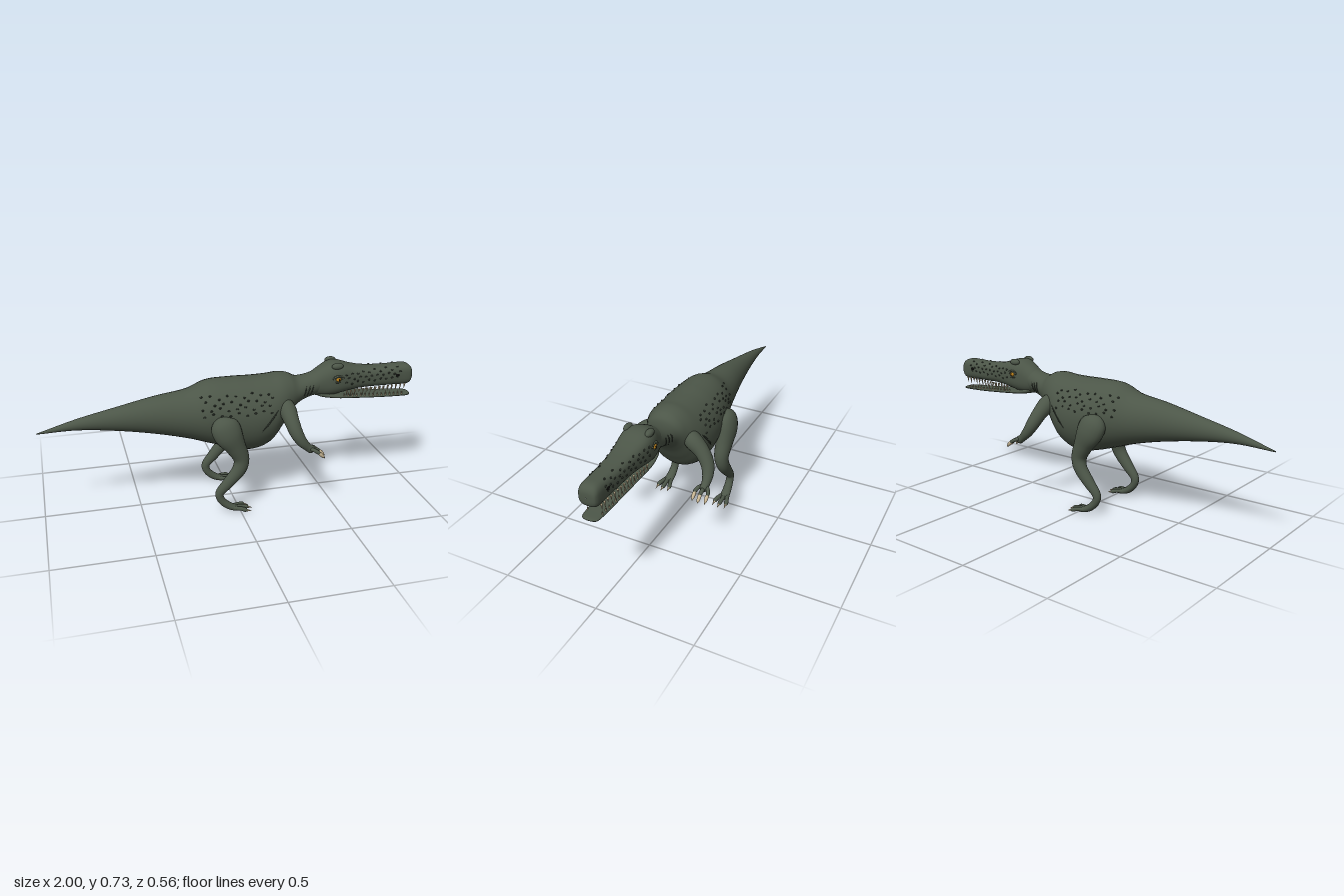
import * as THREE from 'three';
import { mergeGeometries } from 'three/addons/utils/BufferGeometryUtils.js';

const mat = (name, color) => {
  const m = new THREE.MeshStandardMaterial({ color });
  m.name = name;
  return m;
};
const V = (x, y, z) => new THREE.Vector3(x, y, z);

// Smooth skin over rings of points: point(i, j) gives ring i, corner j
function skin(rings, sides, point) {
  const pos = [], idx = [];
  for (let i = 0; i <= rings; i++) {
    for (let j = 0; j < sides; j++) {
      pos.push(...point(i / rings, (j / sides) * Math.PI * 2));
      if (i === rings) continue;
      const a = i * sides + j, b = i * sides + ((j + 1) % sides);
      idx.push(a, a + sides, b, b, a + sides, b + sides);
    }
  }
  const g = new THREE.BufferGeometry();
  g.setAttribute('position', new THREE.Float32BufferAttribute(pos, 3));
  g.setIndex(idx);
  g.computeVertexNormals();
  return g;
}

// Loft along x; each section is [x, top, bottom, half width, squareness]
function loft(sections, rings) {
  const spine = new THREE.CatmullRomCurve3(sections.map(s => V(s[0], s[1], s[2])), false, 'catmullrom');
  const shape = new THREE.CatmullRomCurve3(sections.map(s => V(s[3], s[4], 0)), false, 'catmullrom');
  const pw = (v, e) => Math.sign(v) * Math.abs(v) ** (2 / e);
  const geometry = skin(rings, 36, (t, a) => {
    const p = spine.getPoint(t), q = shape.getPoint(t);
    return [p.x, (p.y + p.z) / 2 + pw(Math.sin(a), q.y) * (p.y - p.z) / 2, pw(Math.cos(a), q.y) * q.x];
  });
  // Half width of the surface at a given x and y
  const zAt = (x, y) => {
    let lo = 0, hi = 1;
    for (let k = 0; k < 24; k++) {
      const m = (lo + hi) / 2;
      if (spine.getPoint(m).x < x) lo = m; else hi = m;
    }
    const p = spine.getPoint(lo), q = shape.getPoint(lo);
    const v = Math.min(1, Math.abs((y - (p.y + p.z) / 2) / ((p.y - p.z) / 2)));
    return q.x * (1 - v ** q.y) ** (1 / q.y);
  };
  return { geometry, zAt };
}

// Limb along points [x, y, z, radius across ref, radius along ref]
function limb(points, ref, rings = 40, sides = 20) {
  const path = new THREE.CatmullRomCurve3(points.map(p => V(p[0], p[1], p[2])), false, 'catmullrom');
  const size = new THREE.CatmullRomCurve3(points.map(p => V(p[3], p[4] ?? p[3], 0)), false, 'catmullrom');
  return skin(rings, sides, (t, a) => {
    const T = path.getTangent(t), r = size.getPoint(t);
    const S = ref.clone().addScaledVector(T, -ref.dot(T)).normalize();
    const U = S.clone().cross(T);
    return path.getPoint(t).addScaledVector(S, Math.cos(a) * r.y).addScaledVector(U, Math.sin(a) * r.x).toArray();
  });
}

// Cone from a base point to a tip
function spike(from, to, r) {
  const d = to.clone().sub(from), len = d.length();
  const g = new THREE.ConeGeometry(r, len, 8).translate(0, len / 2, 0);
  g.applyQuaternion(new THREE.Quaternion().setFromUnitVectors(V(0, 1, 0), d.normalize()));
  return g.translate(from.x, from.y, from.z);
}
const blob = (x, y, z, a, b, c, n = 8) => new THREE.SphereGeometry(1, n * 2, n).scale(a, b, c).translate(x, y, z);

export function createModel() {
  const root = new THREE.Group();
  const hide = mat('hide', 0x4c5648), scale = mat('darkScale', 0x343b32), ivory = mat('ivory', 0xc9b794);
  const amber = mat('amber', 0xb9801c), black = mat('black', 0x0d0d0b);
  const add = (name, geo, m, parent = root) => {
    const mesh = new THREE.Mesh(Array.isArray(geo) ? mergeGeometries(geo) : geo, m);
    mesh.name = name;
    parent.add(mesh);
  };

  // Tail, trunk and neck in one skin
  const body = loft([
    [-1, .476, .472, .002, 2], [-.8, .532, .475, .026, 2], [-.6, .575, .452, .052, 2], [-.4, .615, .415, .085, 2],
    [-.24, .638, .375, .115, 2], [-.13, .678, .338, .142, 2], [0, .682, .298, .162, 2], [.1, .68, .28, .166, 2],
    [.19, .682, .312, .157, 2], [.25, .688, .385, .135, 2], [.3, .68, .46, .108, 2], [.35, .658, .515, .084, 2],
    [.42, .668, .543, .066, 2], [.5, .70, .555, .06, 2], [.54, .69, .57, .04, 2]], 110);
  add('body', body.geometry, hide);

  // Skull and lower jaw
  const skull = loft([
    [.42, .662, .556, .056, 2], [.48, .70, .54, .067, 2.3], [.53, .722, .545, .079, 2.7], [.58, .722, .556, .082, 3],
    [.65, .70, .567, .073, 3], [.72, .685, .572, .064, 3], [.82, .678, .57, .057, 3], [.91, .68, .567, .051, 3],
    [.96, .68, .565, .05, 3], [.985, .67, .573, .046, 3], [.997, .652, .592, .034, 2.6], [1, .625, .622, .001, 2.5]], 80);
  add('skull', skull.geometry, hide);
  const jaw = loft([
    [.45, .572, .552, .03, 2], [.48, .574, .54, .058, 2.3], [.56, .555, .53, .068, 2.6], [.66, .543, .52, .062, 2.6],
    [.8, .529, .508, .053, 2.6], [.93, .519, .501, .046, 2.6], [.98, .516, .5, .04, 2.6], [.996, .513, .504, .025, 2.4],
    [1, .509, .508, .001, 2]], 60);
  add('lowerJaw', jaw.geometry, hide);

  // Teeth along both jaws
  const teeth = [];
  for (const s of [1, -1]) {
    for (let i = 0; i < 15; i++) {
      const x = .61 + i * .0245, len = .022 + .011 * ((i * 2) % 3) / 2;
      const z = s * (skull.zAt(x, .6) - .006);
      teeth.push(spike(V(x, .576, z), V(x - .003, .573 - len, z), .0055));
      const x2 = x - .01, y = .547 - (x2 - .6) * .085, z2 = s * (jaw.zAt(x2, y - .012) - .006);
      teeth.push(spike(V(x2, y - .01, z2), V(x2, y + len * .75, z2), .0048));
    }
  }
  add('teeth', teeth, ivory);

  // Small scales scattered in rows over flanks and snout
  const scales = [], folds = [];
  for (const s of [1, -1]) {
    for (let r = 0; r < 4; r++) for (let i = 0; i < 9; i++) {
      const x = -.18 + i * .043 + (r % 2) * .018 - (r === 3 ? .01 : 0);
      const y = .622 - r * .028 + .009 * Math.sin(i * 2.3 + r * 1.7);
      scales.push(blob(x, y, s * body.zAt(x, y), .0075, .005, .005, 4));
    }
    for (let r = 0; r < 3; r++) for (let i = 0; i < 10; i++) {
      const x = .6 + i * .034 + (r % 2) * .014, y = .668 - r * .024 + .006 * Math.sin(i * 2.9 + r);
      scales.push(blob(x, y, s * skull.zAt(x, y), .0075, .005, .004, 4));
    }
    // Skin creases behind the shoulder and on the neck
    const crease = (x0, y0, x1, y1, w) => {
      const pts = [0, .25, .5, .75, 1].map((t, i) => {
        const x = x0 + (x1 - x0) * t, y = y0 + (y1 - y0) * t;
        return [x, y, s * body.zAt(x, y), i % 4 ? w : .0005];
      });
      folds.push(limb(pts, V(0, 0, 1), 12, 6));
    };
    crease(.12, .43, .21, .54, .004);
    for (let i = 0; i < 3; i++) crease(.37 + i * .02, .565, .385 + i * .02, .62, .003);
  }
  add('scales', scales, scale);
  add('skinCreases', folds, scale);

  for (const s of [1, -1]) {
    const side = new THREE.Group();
    side.name = s > 0 ? 'rightHandSide' : 'leftHandSide';
    root.add(side);

    // Eye, brow and nostril
    add('eye', blob(.555, .647, s * .08, .014, .011, .01, 10), amber, side);
    add('pupil', blob(.557, .647, s * .088, .004, .0075, .003), black, side);
    const brow = [blob(.555, .712, s * .056, .032, .018, .018, 10)];
    for (let i = 0; i < 6; i++) {
      const a = .35 + i * .5;
      brow.push(blob(.555 + .024 * Math.cos(a), .647 + .019 * Math.sin(a), s * .079, .009, .006, .007, 6));
    }
    brow.push(blob(.555, .632, s * .078, .022, .005, .007, 6));
    add('brow', brow, hide, side);
    add('nostril', blob(.905, .63, s * skull.zAt(.905, .63), .013, .008, .003), black, side);

    // Leg with heavy thigh, backward shank and foot
    add('leg', limb([
      [-.085, .525, s * .125, .01, .01], [-.08, .495, s * .15, .066, .045], [-.06, .44, s * .167, .074, .05],
      [-.022, .37, s * .168, .054, .044], [.008, .3, s * .167, .042, .038], [-.004, .24, s * .173, .037, .032],
      [-.06, .17, s * .172, .03, .027], [-.106, .115, s * .17, .023, .021], [-.1, .072, s * .17, .02, .021],
      [-.063, .035, s * .172, .019, .024], [-.02, .016, s * .174, .014, .026], [0, .012, s * .174, .006, .02]],
      V(0, 0, 1), 64), hide, side);
    const toes = [], toeClaws = [];
    for (const k of [-1, 0, 1]) {
      const z = s * .174 + k * .033, x = k ? .03 : .042;
      toes.push(limb([[-.045, .022, s * .174 + k * .012, .011], [0, .02, s * .174 + k * .026, .011],
        [x - .006, .013, z, .011], [x + .006, .011, z, .002]], V(0, 0, 1), 14, 10));
      toeClaws.push(spike(V(x - .006, .013, z), V(x + .027, .003, z + k * .002), .0085));
    }
    add('toes', toes, hide, side);
    add('toeClaws', toeClaws, ivory, side);

    // Arm reaching outward and forward
    add('arm', limb([
      [.25, .57, s * .075, .03], [.262, .53, s * .125, .045], [.27, .487, s * .178, .039], [.285, .435, s * .216, .034],
      [.31, .39, s * .232, .028], [.343, .355, s * .236, .021], [.365, .34, s * .236, .021], [.378, .333, s * .236, .006]],
      V(.7, .7, 0)), hide, side);
    const fingers = [], claws = [];
    for (const k of [-1, 0, 1]) {
      const z = s * .236 + k * .034, x = k ? .39 : .4;
      fingers.push(limb([[.35, .35, s * .236 + k * .008, .01], [.372, .344, s * .236 + k * .026, .01],
        [x, .333, z, .0095], [x + .01, .326, z, .004]], V(.5, .85, 0), 14, 10));
      claws.push(limb([[x, .332, z, .0075], [x + .013, .322, z, .0095], [x + .026, .309, z, .0075],
        [x + .036, .298, z, .0008]], V(0, 0, 1), 14, 10));
    }
    add('fingers', fingers, hide, side);
    add('fingerClaws', claws, ivory, side);
  }
  return root;
}
